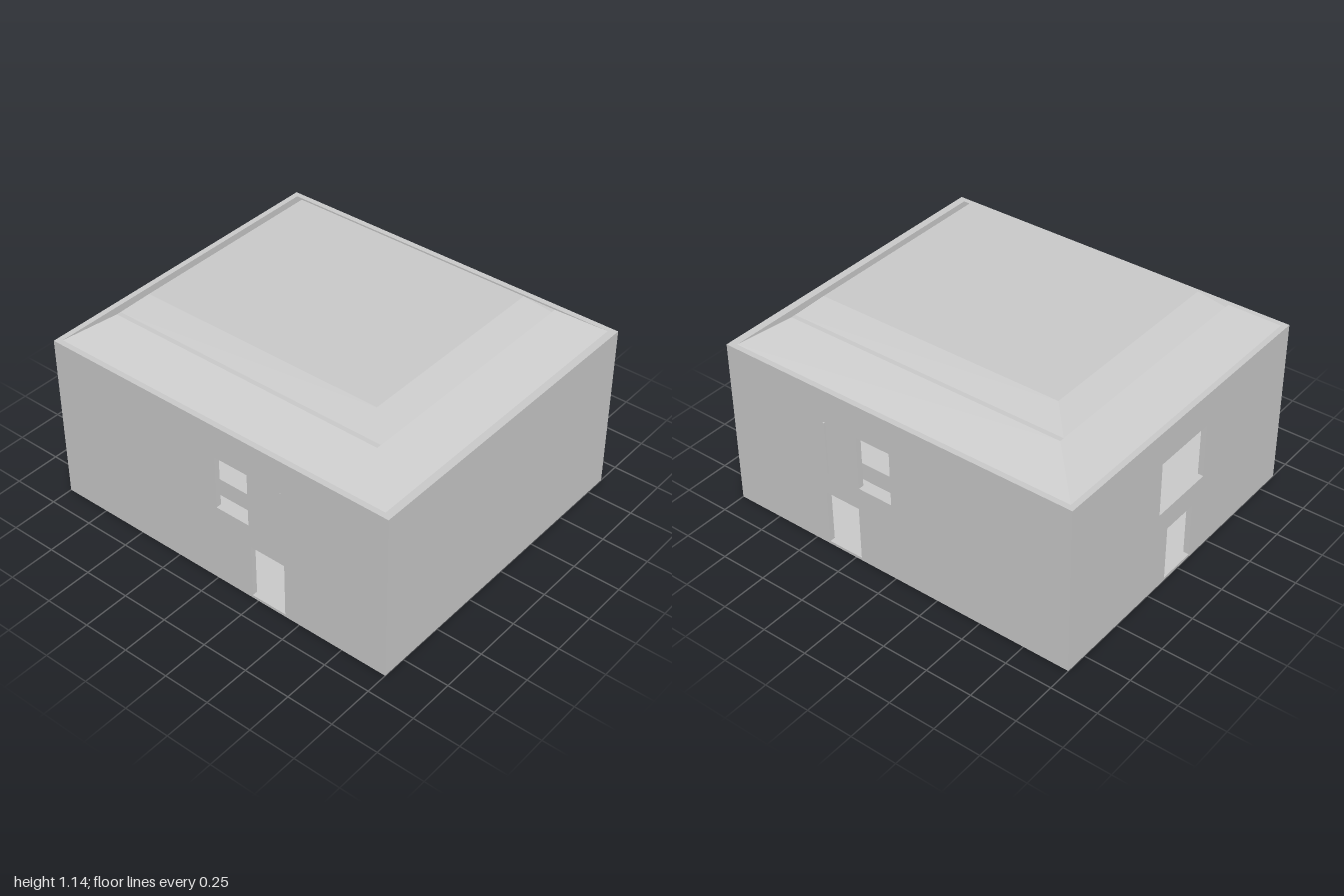
import * as THREE from 'three';

const X0 = -0.88, X1 = 0.87, WALL_TOP = 0.915, T = 0.03;
const mat = new THREE.MeshStandardMaterial({ color: 0xcccccc, flatShading: true });

function add(group, name, geometry) {
  const mesh = new THREE.Mesh(geometry, mat);
  mesh.name = name;
  group.add(mesh);
  return mesh;
}

// Box given by its minimum and maximum corners
function block(group, name, [x0, y0, z0], [x1, y1, z1]) {
  const mesh = add(group, name, new THREE.BoxGeometry(x1 - x0, y1 - y0, z1 - z0));
  mesh.position.set((x0 + x1) / 2, (y0 + y1) / 2, (z0 + z1) / 2);
  return mesh;
}

// Upright slab with rectangular openings [u0, y0, u1, y1]
function wallGeometry(u0, u1, openings = []) {
  const rect = (path, a, b, c, d) =>
    path.moveTo(a, b).lineTo(c, b).lineTo(c, d).lineTo(a, d).closePath();
  const shape = rect(new THREE.Shape(), u0, 0, u1, WALL_TOP);
  for (const o of openings) shape.holes.push(rect(new THREE.Path(), ...o));
  return new THREE.ExtrudeGeometry(shape, { depth: T, bevelEnabled: false });
}

// Roof tier: a box whose top face is drawn in to a smaller rectangle
function tierGeometry(y0, y1, base, top) {
  const geo = new THREE.BoxGeometry(1, 1, 1);
  const p = geo.attributes.position;
  for (let i = 0; i < p.count; i++) {
    const high = p.getY(i) > 0;
    const [xa, xb, za, zb] = high ? top : base;
    p.setXYZ(i, p.getX(i) < 0 ? xa : xb, high ? y1 : y0, p.getZ(i) < 0 ? za : zb);
  }
  geo.computeVertexNormals();
  return geo;
}

export function createModel() {
  const house = new THREE.Group();
  house.name = 'house';

  // Outer walls
  const sideOpenings = [[0.215, 0.015, 0.415, 0.315], [0.01, 0.44, 0.205, 0.735]];
  const backOpenings = [[-0.1, 0.015, 0.11, 0.315], [-0.18, 0.44, 0.185, 0.735]];
  add(house, 'frontWall', wallGeometry(X0, X1)).position.z = 1 - T;
  add(house, 'backWall', wallGeometry(X0, X1, backOpenings)).position.z = -1;
  for (const [name, x] of [['leftWall', X1], ['rightWall', X0 + T]]) {
    const geo = wallGeometry(-1 + T, 1 - T, sideOpenings).rotateY(-Math.PI / 2);
    add(house, name, geo).position.x = x;
  }

  // Floors and ceiling
  for (const [name, y0, y1] of [['groundFloor', 0, 0.015], ['upperFloor', 0.4, 0.435],
    ['ceiling', WALL_TOP - T, WALL_TOP]]) {
    block(house, name, [X0 + T, y0, -1 + T], [X1 - T, y1, 1 - T]);
  }

  // Low blocks standing on the upper floor
  block(house, 'lowBlockLeft', [0.2, 0.435, -0.68], [0.8, 0.53, 0.25]);
  block(house, 'lowBlockRight', [-0.8, 0.435, -0.68], [0.18, 0.53, 0.25]);

  // Thin shutter edges beside the side windows
  block(house, 'leftShutter', [X1 - T, 0.44, 0.393], [0.877, 0.735, 0.403]);
  block(house, 'rightShutter', [X0 - 0.001, 0.44, 0.393], [X0 + T, 0.735, 0.403]);

  // Two-tier hipped roof with a narrow ledge along both sides
  add(house, 'lowerRoof', tierGeometry(WALL_TOP, 1.05,
    [-0.85, 0.84, -0.97, 0.96], [-0.67, 0.66, -0.78, 0.77]));
  add(house, 'upperRoof', tierGeometry(1.05, 1.145,
    [-0.645, 0.635, -0.78, 0.77], [-0.55, 0.54, -0.68, 0.67]));

  return house;
}
